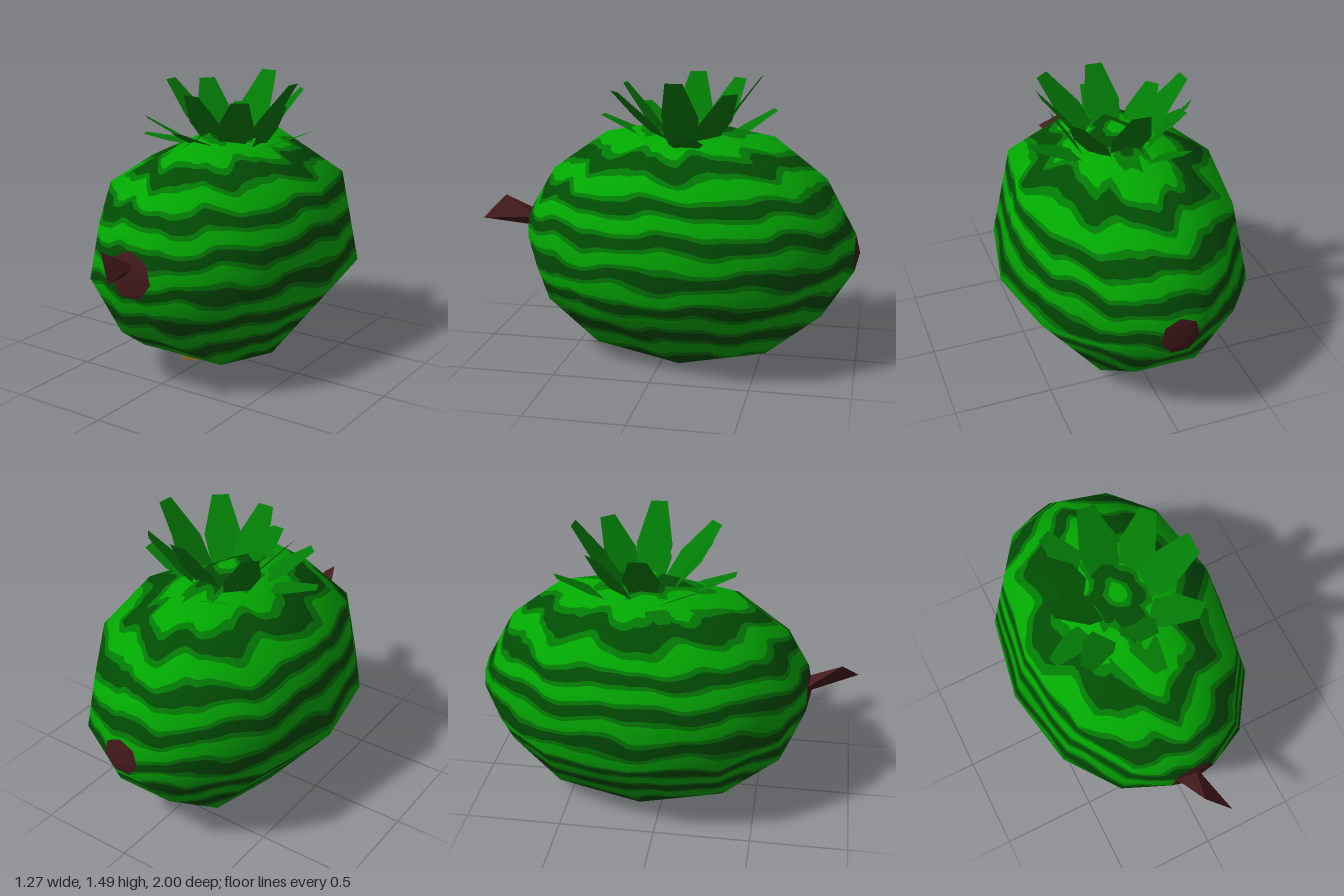
import * as THREE from 'three';
import { ConvexGeometry } from 'three/addons/geometries/ConvexGeometry.js';

const mat = (name, color, side = THREE.FrontSide) => {
  const m = new THREE.MeshStandardMaterial({ color, side });
  m.name = name;
  return m;
};
const V = (x, y, z) => new THREE.Vector3(x, y, z);

// Body rings along z: [z, radius, centre height]
const RINGS = [[-1, 0, 0.595], [-0.975, 0.1, 0.595], [-0.82, 0.36, 0.615], [-0.55, 0.567, 0.615],
  [-0.11, 0.65, 0.615], [0.33, 0.567, 0.615], [0.62, 0.36, 0.615], [0.74, 0.125, 0.65], [0.765, 0, 0.65]];
const SIDES = 7;
const STEPS = 14;

// Rind bands within one period: [from, to, colour key]
const BANDS = [[-0.5, -0.3, 'light'], [-0.3, -0.17, 'mid'], [-0.17, 0.17, 'dark'],
  [0.17, 0.3, 'mid'], [0.3, 0.5, 'light']];

// Corner with position and smooth normal
function corner(i, k) {
  const [z, r, cy] = RINGS[i];
  const a = (k / SIDES) * Math.PI * 2;
  const x = r * Math.sin(a), y = r * Math.cos(a);
  const n = V(x / 0.42, y / 0.42, (z + 0.115) / 0.78).normalize();
  return [x, cy + y, z, n.x, n.y, n.z];
}

// Wavy stripe phase at a point, with a light spot at the crown
function phase(x, y, z) {
  const t = Math.atan2(x, (z + 0.11) * 0.7);
  const wave = 0.017 * Math.cos(8 * t + 3 * Math.sin(y * 6)) + 0.008 * Math.sin(15 * t + 9 * y)
    + 0.003 * Math.sin(31 * t + 20 * y);
  const r2 = x * x + (z + 0.11) ** 2;
  const spot = Math.exp(-r2 / 0.012);
  return (y + wave * (1 - spot) + 0.065 * spot - 1.075) / 0.17;
}

const lerp = (a, b, t) => a.map((v, i) => v + (b[i] - v) * t);

// Keep the part of a polygon where sign * (phase - level) >= 0
function clip(poly, level, sign) {
  const out = [];
  poly.forEach((p, i) => {
    const q = poly[(i + 1) % poly.length];
    const a = sign * (p[6] - level), b = sign * (q[6] - level);
    if (a >= 0) out.push(p);
    if ((a > 0 && b < 0) || (a < 0 && b > 0)) out.push(lerp(p, q, a / (a - b)));
  });
  return out;
}

function addFan(list, poly) {
  for (let i = 1; i < poly.length - 1; i++) list.push(poly[0], poly[i], poly[i + 1]);
}

// Cut a triangle into its stripe colours
function stripe(tri, lists) {
  const f = tri.map((p) => p[6]);
  const lo = Math.min(...f), hi = Math.max(...f);
  for (let n = Math.round(lo); n <= Math.round(hi); n++) {
    for (const [from, to, key] of BANDS) {
      if (n + to <= lo || n + from >= hi) continue;
      addFan(lists[key], clip(clip(tri, n + from, 1), n + to, -1));
    }
  }
}

function toGeometry(list) {
  const g = new THREE.BufferGeometry();
  g.setAttribute('position', new THREE.Float32BufferAttribute(list.flatMap((p) => p.slice(0, 3)), 3));
  g.setAttribute('normal', new THREE.Float32BufferAttribute(list.flatMap((p) => p.slice(3, 6)), 3));
  return g;
}

function buildBody() {
  const lists = { light: [], mid: [], dark: [], bark: [] };
  for (let i = 0; i < RINGS.length - 1; i++) {
    const cap = i === 0 || i === RINGS.length - 2;
    const steps = cap ? 2 : STEPS;
    for (let k = 0; k < SIDES; k++) {
      const a = corner(i, k), b = corner(i + 1, k), c = corner(i + 1, k + 1), d = corner(i, k + 1);
      const at = (u, v) => {
        const p = lerp(lerp(a, d, u / steps), lerp(b, c, u / steps), v / steps);
        return [...p, phase(p[0], p[1], p[2])];
      };
      for (let u = 0; u < steps; u++) for (let v = 0; v < steps; v++) {
        const p = at(u, v), q = at(u, v + 1), r = at(u + 1, v + 1), s = at(u + 1, v);
        for (const tri of [[p, q, r], [p, r, s]]) {
          if (cap) lists.bark.push(...tri);
          else stripe(tri, lists);
        }
      }
    }
  }
  return lists;
}

// Underside height of the body near its lowest facet
const underside = (z) => 0.03 + Math.abs(z + 0.11) * 0.165;

// Shallow dome under the body: outer rim, lower inner ring, apex
function patch(cz, rx, rz, depth, apex, radii) {
  const pos = [];
  const n = radii.length;
  const point = (i, scale, drop) => {
    const a = (i / n) * Math.PI * 2, r = radii[i % n] * scale;
    const z = cz + Math.cos(a) * rz * r;
    return [Math.sin(a) * rx * r, underside(z) - drop, z];
  };
  for (let i = 0; i < n; i++) {
    const a = point(i, 1, 0.002), b = point(i + 1, 1, 0.002);
    const c = point(i, 0.86, depth), d = point(i + 1, 0.86, depth);
    pos.push(...apex, ...d, ...c, ...c, ...d, ...b, ...c, ...b, ...a);
  }
  const g = new THREE.BufferGeometry();
  g.setAttribute('position', new THREE.Float32BufferAttribute(pos, 3));
  g.computeVertexNormals();
  return g;
}

// Flat tapering leaf from base to tip, widest below the middle
function leaf(base, tip, width) {
  const side = V(tip.z - base.z, 0, base.x - tip.x).normalize();
  const pos = [];
  for (const [t, w] of [[0, 0.7], [0.42, 1], [1, 0.46]]) {
    const c = base.clone().lerp(tip, t);
    for (const s of [-0.5, 0.5]) pos.push(...c.clone().addScaledVector(side, s * w * width).toArray());
  }
  const g = new THREE.BufferGeometry();
  g.setAttribute('position', new THREE.Float32BufferAttribute(pos, 3));
  g.setIndex([0, 1, 3, 0, 3, 2, 2, 3, 5, 2, 5, 4]);
  g.computeVertexNormals();
  return g;
}

export function createModel() {
  const model = new THREE.Group();
  model.name = 'stripedFruit';
  const mats = {
    light: mat('lightRind', 0x02a802),
    mid: mat('midRind', 0x027a04),
    dark: mat('darkRind', 0x024c04),
    bark: mat('stemBrown', 0x451a1c),
    leaf: mat('leafGreen', 0x037c06, THREE.DoubleSide),
    soil: mat('undersideBrown', 0xb88036, THREE.DoubleSide),
    straw: mat('undersideYellow', 0xd4ba44, THREE.DoubleSide),
  };
  const add = (name, geometry, material, parent = model) => {
    const mesh = new THREE.Mesh(geometry, material);
    mesh.name = name;
    parent.add(mesh);
  };

  // Striped body with bark caps at both ends
  const body = new THREE.Group();
  body.name = 'body';
  model.add(body);
  const lists = buildBody();
  const names = { light: 'lightStripes', mid: 'midStripes', dark: 'darkStripes', bark: 'endCaps' };
  for (const key in lists) add(names[key], toGeometry(lists[key]), mats[key], body);

  // Broken stem on the front cap
  add('stem', new ConvexGeometry([V(-0.1, 0.7, 0.73), V(0.02, 0.7, 0.72), V(-0.03, 0.64, 0.73),
    V(-0.03, 0.805, 0.91), V(0.085, 0.7, 1)]), mats.bark);

  // Ground spots underneath
  add('brownSpot', patch(-0.1, 0.255, 0.31, 0.02, [0, 0.003, -0.1],
    [1, 1.02, 1.08, 0.95, 1.02, 0.95, 1, 1, 0.95, 0.9, 1.08, 1.02]), mats.soil);
  add('yellowSpot', patch(0.15, 0.075, 0.185, 0.034, [0, 0.006, 0.06],
    [1, 0.95, 1, 0.95, 1, 0.95, 1, 0.95]), mats.straw);

  // Leaf crown: [tip x, y, z, width, base distance from the crown centre]
  const crown = new THREE.Group();
  crown.name = 'leafCrown';
  model.add(crown);
  const leaves = [
    [0.39, 1.49, -0.1, 0.19, 0.14], [-0.36, 1.46, -0.09, 0.19, 0.1], [0.015, 1.49, -0.48, 0.2, 0.13],
    [0, 1.44, 0.23, 0.19, 0.13], [0.29, 1.43, -0.36, 0.19, 0.16], [-0.29, 1.44, -0.33, 0.19, 0.16],
    [0.28, 1.43, 0.22, 0.19, 0.16], [0.33, 1.37, -0.1, 0.18, 0.18],
    [0, 1.27, 0.35, 0.15, 0.16], [-0.43, 1.18, 0.05, 0.13, 0.2], [0.455, 1.245, -0.16, 0.17, 0.2],
    [-0.31, 1.3, 0.19, 0.16, 0.17], [-0.2, 1.29, -0.53, 0.15, 0.2],
  ];
  for (const [x, y, z, width, out] of leaves) {
    const dir = V(x, 0, z + 0.11).normalize();
    const base = V(dir.x * out, y > 1.4 ? 1.17 : 1.14, -0.11 + dir.z * out);
    add('leaf', leaf(base, V(x, y, z), width), mats.leaf, crown);
  }
  return model;
}
